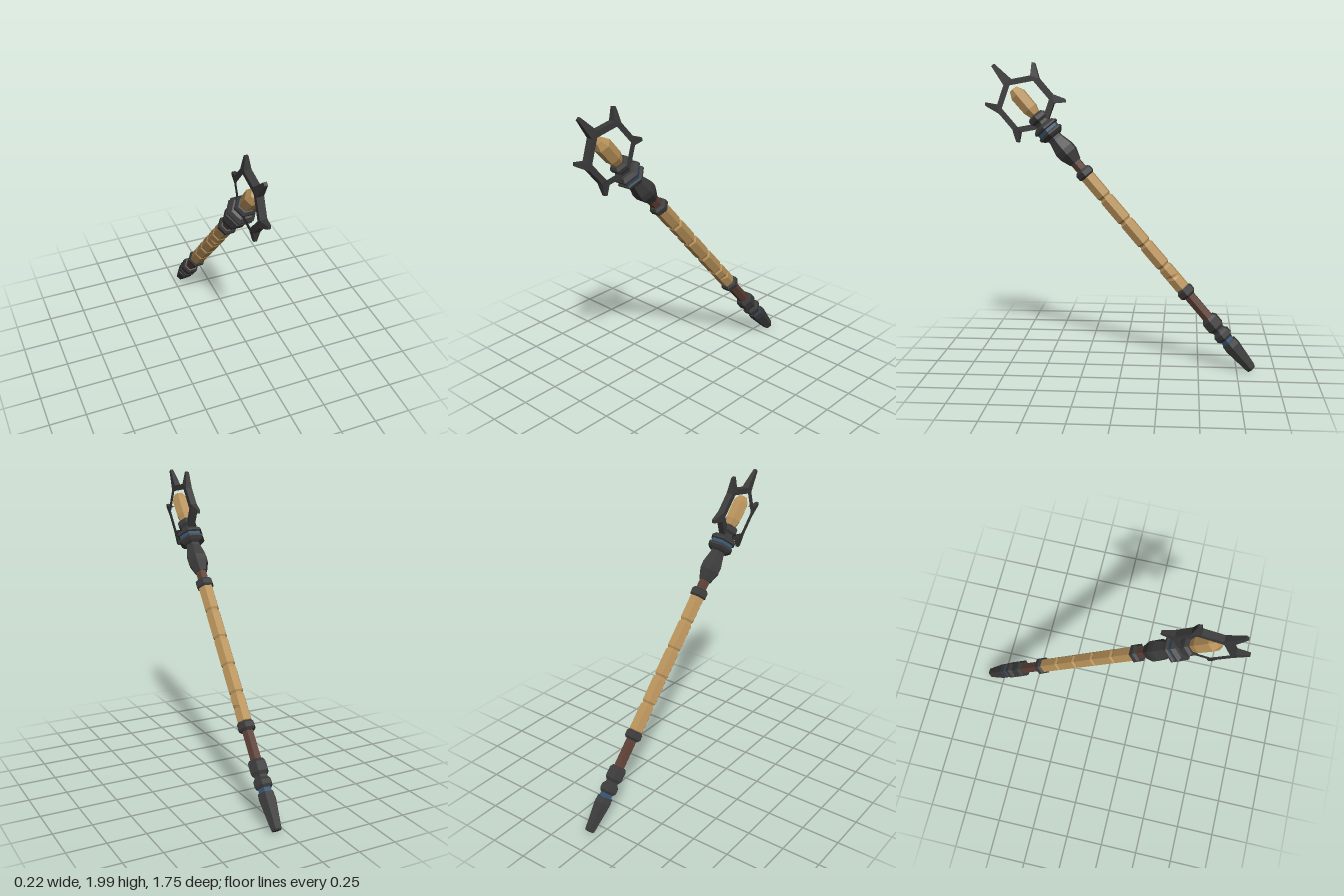
import * as THREE from 'three';

const mat = (name, color) => new THREE.MeshStandardMaterial({ name, color, flatShading: true });

export function createModel() {
  const iron = mat('dark iron', 0x3a3a3a);
  const tan = mat('tan', 0xb8925a);
  const brown = mat('brown wood', 0x5a3d33);
  const blue = mat('blue', 0x34526e);

  const model = new THREE.Group();
  model.name = 'staff';

  // Everything is built upright along y, then the whole staff is leaned forward
  const staff = new THREE.Group();
  staff.name = 'leaningStaff';
  staff.position.set(0.012, 1.0, -0.01);
  const axis = new THREE.Vector3(-0.0387, 0.757, 0.652).normalize();
  staff.quaternion.setFromUnitVectors(new THREE.Vector3(0, 1, 0), axis);
  model.add(staff);

  const add = (name, geometry, material) => {
    const mesh = new THREE.Mesh(geometry, material);
    mesh.name = name;
    staff.add(mesh);
    return mesh;
  };

  // Closed six-sided turned part; profile entries are [radius, height]
  const turned = (name, material, profile) => {
    const pts = [[0, profile[0][1]], ...profile, [0, profile[profile.length - 1][1]]];
    const geo = new THREE.LatheGeometry(pts.map(([r, y]) => new THREE.Vector2(r, y)), 6, Math.PI / 6);
    return add(name, geo, material);
  };

  // Foot: tapered tip, blue band, collars
  turned('footTip', iron, [[0.03, -1.285], [0.036, -1.275], [0.058, -1.09], [0.054, -1.05]]);
  turned('footBlueBand', blue, [[0.045, -1.055], [0.045, -1.015]]);
  turned('footCollar', iron, [[0.05, -1.022], [0.062, -1.005], [0.062, -0.975], [0.045, -0.955], [0.045, -0.92]]);
  turned('footBand', iron, [[0.048, -0.94], [0.062, -0.92], [0.062, -0.86], [0.048, -0.84]]);

  // Wooden core and the bands that hold the grip
  turned('woodenShaft', brown, [[0.038, -0.9], [0.038, 0.54]]);
  for (const [name, y] of [['lowerGripBand', -0.62], ['upperGripBand', 0.388]]) {
    turned(name, iron, [[0.046, y - 0.032], [0.061, y - 0.016], [0.061, y + 0.016], [0.046, y + 0.032]]);
  }

  // Grip: five bevelled segments around a slimmer core, two with a nicked edge
  turned('gripCore', tan, [[0.041, -0.6], [0.041, 0.37]]);
  const joints = [-0.6, -0.4, -0.21, -0.015, 0.185, 0.375];
  const nicks = { 0: { y: -0.49, angle: Math.PI / 2 }, 3: { y: 0.077, angle: -Math.PI / 6 } };
  for (let i = 0; i < 5; i++) {
    const a = joints[i] + 0.004, b = joints[i + 1] - 0.004, r = 0.05;
    const nick = nicks[i];
    const cut = nick ? [[r, nick.y - 0.02], [r, nick.y], [r, nick.y + 0.02]] : [];
    const seg = turned('gripSegment', tan, [[0.041, a], [r, a + 0.012], ...cut, [r, b - 0.012], [0.041, b]]);
    if (!nick) continue;
    const p = seg.geometry.attributes.position;
    for (let k = 0; k < p.count; k++) {
      const x = p.getX(k), z = p.getZ(k);
      const onEdge = Math.abs(Math.atan2(x, z) - nick.angle) < 0.01;
      if (onEdge && Math.abs(p.getY(k) - nick.y) < 0.001) p.setXYZ(k, x * 0.8, nick.y, z * 0.8);
    }
  }

  // Head: bulb, flanges with a blue band between, crystal socket
  turned('headBulb', iron, [[0.044, 0.48], [0.071, 0.55], [0.072, 0.59], [0.052, 0.67], [0.05, 0.72]]);
  turned('lowerFlange', iron, [[0.06, 0.69], [0.075, 0.7], [0.092, 0.718], [0.092, 0.73], [0.078, 0.738]]);
  turned('headBlueBand', blue, [[0.08, 0.734], [0.08, 0.76]]);
  turned('upperFlange', iron, [[0.078, 0.756], [0.092, 0.764], [0.092, 0.776], [0.07, 0.796], [0.05, 0.8]]);
  turned('socketNeck', iron, [[0.05, 0.79], [0.05, 0.85]]);
  turned('crystalSocket', iron, [[0.05, 0.82], [0.066, 0.838], [0.066, 0.862], [0.05, 0.878]]);
  turned('crystal', tan, [[0.032, 0.86], [0.053, 0.925], [0.055, 1.045], [0.03, 1.09]]);

  // Spiked hexagonal halo, drawn flat around its own centre
  const inner = 0.155, outer = 0.198;
  const polar = (r, a) => new THREE.Vector2(r * Math.sin(a), r * Math.cos(a));
  const tips = [[0, 0.325], [0.21, 0.165], [0.208, -0.15], null, [-0.2, -0.15], [-0.2, 0.17]];
  const outline = [], hole = [];
  for (let i = 0; i < 6; i++) {
    const a = i * Math.PI / 3;
    const corner = polar(outer, a);
    hole.push(polar(inner, a));
    if (!tips[i]) { outline.push(corner); continue; }
    const before = corner.clone().lerp(polar(outer, a - Math.PI / 3), 0.17);
    const after = corner.clone().lerp(polar(outer, a + Math.PI / 3), 0.17);
    const tip = new THREE.Vector2(...tips[i]);
    const side = tip.clone().normalize();
    side.set(side.y, -side.x).multiplyScalar(0.011);
    outline.push(before, tip.clone().sub(side), tip.clone().add(side), after);
  }
  const shape = new THREE.Shape(outline);
  shape.holes.push(new THREE.Path(hole));
  const halo = new THREE.ExtrudeGeometry(shape, { depth: 0.044, bevelEnabled: false });
  halo.translate(0, 0, -0.022);
  // Thin the spikes towards their points
  const hp = halo.attributes.position;
  for (let k = 0; k < hp.count; k++) {
    if (Math.hypot(hp.getX(k), hp.getY(k)) > 0.22) hp.setZ(k, hp.getZ(k) * 0.45);
  }
  halo.rotateY(Math.PI / 2);
  halo.translate(0, 0.967, 0);
  add('spikedHalo', halo, iron);

  return model;
}
